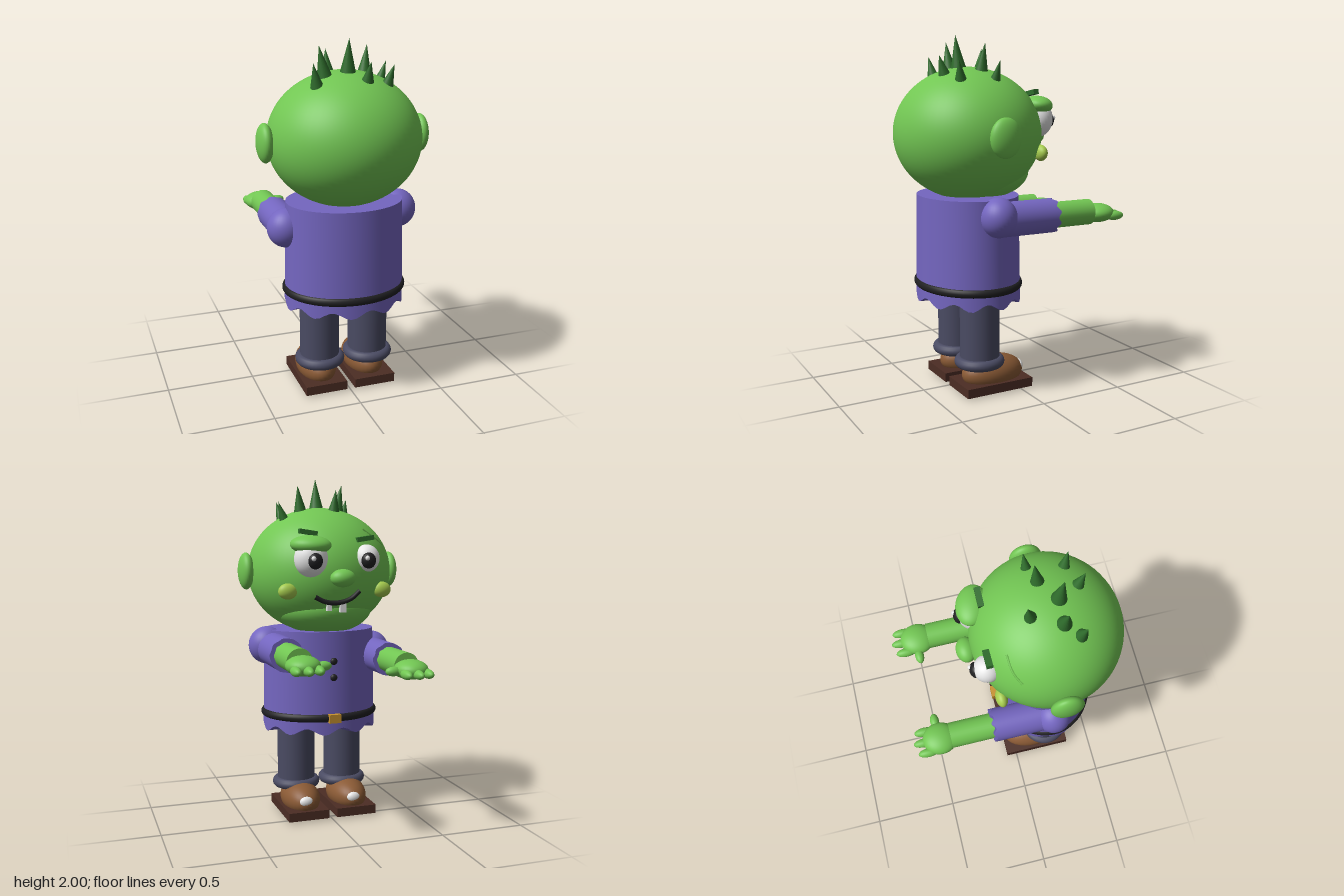
import * as THREE from 'three';

const mat = (name, color) => {
  const m = new THREE.MeshStandardMaterial({ color });
  m.name = name;
  return m;
};

export function createModel() {
  const root = new THREE.Group();
  root.name = 'figure';
  const skin = mat('skin green', 0x72c653), shirt = mat('shirt purple', 0x7466c0);
  const slate = mat('trouser slate', 0x4a4b63), brown = mat('shoe brown', 0x8a5a35);
  const soleMat = mat('sole brown', 0x4c2d24), black = mat('black', 0x202022);
  const white = mat('white', 0xf0f0f0), gold = mat('buckle gold', 0xc8922e);
  const spike = mat('hair green', 0x2f6d2c), blush = mat('cheek green', 0xa6cc4e);

  const add = (name, geo, material, x = 0, y = 0, z = 0, parent = root) => {
    const m = new THREE.Mesh(geo, material);
    m.name = name;
    m.position.set(x, y, z);
    parent.add(m);
    return m;
  };
  const ball = (name, material, [x, y, z], [rx, ry, rz], parent = root, seg = 32) => {
    const m = add(name, new THREE.SphereGeometry(1, seg, seg * 0.75), material, x, y, z, parent);
    m.scale.set(rx, ry, rz);
    return m;
  };
  // Closed cylinder whose lower rim is ragged
  const raggedTube = (rTop, rBottom, h, waves, amp) => {
    const g = new THREE.CylinderGeometry(rTop, rBottom, h, 72, 1);
    const p = g.attributes.position;
    for (let i = 0; i < p.count; i++) {
      const x = p.getX(i), z = p.getZ(i);
      if (p.getY(i) < 0 && Math.hypot(x, z) > 0.01)
        p.setY(i, p.getY(i) + amp * (1 + Math.sin(waves * Math.atan2(x, z))));
    }
    return g;
  };

  // Head: the face looks towards -z
  const C = new THREE.Vector3(0, 1.46, 0.21), R = new THREE.Vector3(0.425, 0.369, 0.413);
  const faceZ = (x, y) => C.z - R.z * Math.sqrt(1 - (x / R.x) ** 2 - ((y - C.y) / R.y) ** 2);
  const crownY = (x, z) => C.y + R.y * Math.sqrt(1 - (x / R.x) ** 2 - ((z - C.z) / R.z) ** 2);
  ball('head', skin, C.toArray(), R.toArray(), root, 64);
  ball('jaw', skin, [0, 1.25, 0.13], [0.29, 0.16, 0.27], root, 48);
  ball('nose', skin, [0, 1.435, -0.225], [0.072, 0.05, 0.055]);
  for (const s of [-1, 1]) {
    ball('ear', skin, [s * 0.445, 1.463, 0.21], [0.045, 0.107, 0.09]);
    ball('cheek', blush, [s * 0.28, 1.36, -0.1], [0.055, 0.045, 0.033]);
  }

  // Eyes: one larger and half covered by a heavy lid
  ball('largeEye', white, [0.16, 1.54, -0.15], [0.095, 0.103, 0.085]);
  ball('smallEye', white, [-0.168, 1.54, -0.145], [0.074, 0.078, 0.076]);
  const lid = ball('eyelid', skin, [0.162, 1.617, -0.15], [0.115, 0.052, 0.085]);
  lid.rotation.set(-0.1, -0.35, 0);
  for (const [x, z] of [[0.158, -0.222], [-0.158, -0.207]]) {
    ball('pupil', black, [x, 1.53, z], [0.042, 0.045, 0.032], root, 24);
    ball('eyeHighlight', white, [x + 0.016, 1.543, z - 0.026], [0.013, 0.014, 0.012], root, 16);
  }
  add('eyebrow', new THREE.BoxGeometry(0.105, 0.026, 0.032), spike, 0.165, 1.685, -0.108).rotation.z = 0.15;
  add('eyebrow', new THREE.BoxGeometry(0.098, 0.026, 0.035), spike, -0.16, 1.65, -0.14).rotation.z = -0.15;

  // Crooked grin, with two teeth
  const grin = [[-0.115, 1.36], [-0.07, 1.32], [-0.02, 1.3], [0.04, 1.295], [0.09, 1.305], [0.14, 1.33]];
  const curve = new THREE.CatmullRomCurve3(grin.map(([x, y]) => new THREE.Vector3(x, y, faceZ(x, y) - 0.006)));
  add('mouth', new THREE.TubeGeometry(curve, 40, 0.014, 10), black);
  for (const [x, w, h] of [[0.055, 0.028, 0.04], [-0.025, 0.034, 0.05]])
    add('tooth', new THREE.BoxGeometry(w, h, 0.025), white, x, 1.29 - h / 2, faceZ(x, 1.27) - 0.008);

  // Scar: a thin raised sliver on the brow
  const scarPath = new THREE.CatmullRomCurve3([[-0.32, 0], [-0.26, -0.035], [-0.18, -0.047]].map(
    ([x, z]) => new THREE.Vector3(x, crownY(x, z), z)));
  add('scar', new THREE.TubeGeometry(scarPath, 12, 0.007, 6), skin);

  // Hair spikes: base x, base z, tip x, y, z, radius
  const up = new THREE.Vector3(0, 1, 0);
  for (const [bx, bz, tx, ty, tz, r] of [
    [-0.057, 0.105, -0.065, 1.93, 0.085, 0.037], [0.12, 0.185, 0.142, 1.955, 0.17, 0.04],
    [0.225, 0.155, 0.265, 1.86, 0.145, 0.031], [-0.125, 0.255, -0.16, 1.965, 0.262, 0.044],
    [0, 0.26, 0, 2, 0.28, 0.046], [-0.19, 0.325, -0.218, 1.885, 0.345, 0.038],
    [0.065, 0.375, 0.072, 1.89, 0.412, 0.037], [0.19, 0.34, 0.22, 1.867, 0.367, 0.035]]) {
    const a = new THREE.Vector3(bx, crownY(bx, bz) - 0.02, bz), b = new THREE.Vector3(tx, ty, tz);
    const d = b.clone().sub(a);
    const cone = add('hairSpike', new THREE.ConeGeometry(r, d.length(), 20), spike);
    cone.position.copy(a).add(b).multiplyScalar(0.5);
    cone.quaternion.setFromUnitVectors(up, d.normalize());
  }

  // Shirt, belt, buckle and buttons
  const torso = add('shirt', raggedTube(0.33, 0.342, 0.605, 10, 0.02), shirt, 0, 0.8175, 0.213);
  torso.scale.z = 0.84;
  const belt = add('belt', new THREE.TorusGeometry(0.33, 0.025, 16, 72), black, 0, 0.617, 0.213);
  belt.rotation.x = Math.PI / 2;
  belt.scale.y = 0.84;
  add('buckle', new THREE.BoxGeometry(0.07, 0.05, 0.035), gold, 0, 0.617, -0.086);
  for (const y of [0.855, 0.95]) ball('button', black, [0, y, -0.071], [0.021, 0.021, 0.015], root, 20);

  // Arms stretched forward, one slightly higher
  for (const [s, y] of [[1, 1.01], [-1, 0.96]]) {
    const arm = new THREE.Group();
    arm.name = s > 0 ? 'leftArm' : 'rightArm';
    arm.position.set(s * 0.305, y, 0);
    root.add(arm);
    ball('shoulder', shirt, [s * 0.025, 0.018, 0.19], [0.107, 0.11, 0.102], arm);
    add('sleeve', raggedTube(0.096, 0.096, 0.36, 9, 0.01), shirt, 0, 0, 0.01, arm).rotation.x = Math.PI / 2;
    add('forearm', new THREE.CylinderGeometry(0.073, 0.073, 0.3, 32), skin, 0, 0, -0.26, arm).rotation.x = Math.PI / 2;
    ball('palm', skin, [0, -0.01, -0.47], [0.093, 0.054, 0.1], arm);
    for (const k of [-1, 0, 1])
      ball('finger', skin, [k * 0.062, -0.025, k ? -0.55 : -0.56], [0.026, 0.026, k ? 0.06 : 0.066], arm, 20);
    ball('thumb', skin, [-s * 0.107, -0.015, -0.48], [0.046, 0.026, 0.026], arm, 20);
  }

  // Legs and shoes
  for (const s of [-1, 1]) {
    const leg = new THREE.Group();
    leg.name = s > 0 ? 'leftLeg' : 'rightLeg';
    leg.position.x = s * 0.147;
    root.add(leg);
    add('trouserLeg', new THREE.CylinderGeometry(0.113, 0.113, 0.43, 36), slate, 0, 0.385, 0.213, leg);
    const cuff = add('cuff', new THREE.TorusGeometry(0.112, 0.031, 14, 40), slate, 0, 0.178, 0.216, leg);
    cuff.rotation.x = Math.PI / 2;
    ball('shoe', brown, [0, 0.1, 0.133], [0.112, 0.1, 0.188], leg);
    ball('toe', white, [0.008, 0.115, -0.03], [0.042, 0.032, 0.026], leg, 20);
    add('sole', new THREE.BoxGeometry(0.245, 0.052, 0.413), soleMat, 0, 0.038, 0.143, leg);
  }
  return root;
}
